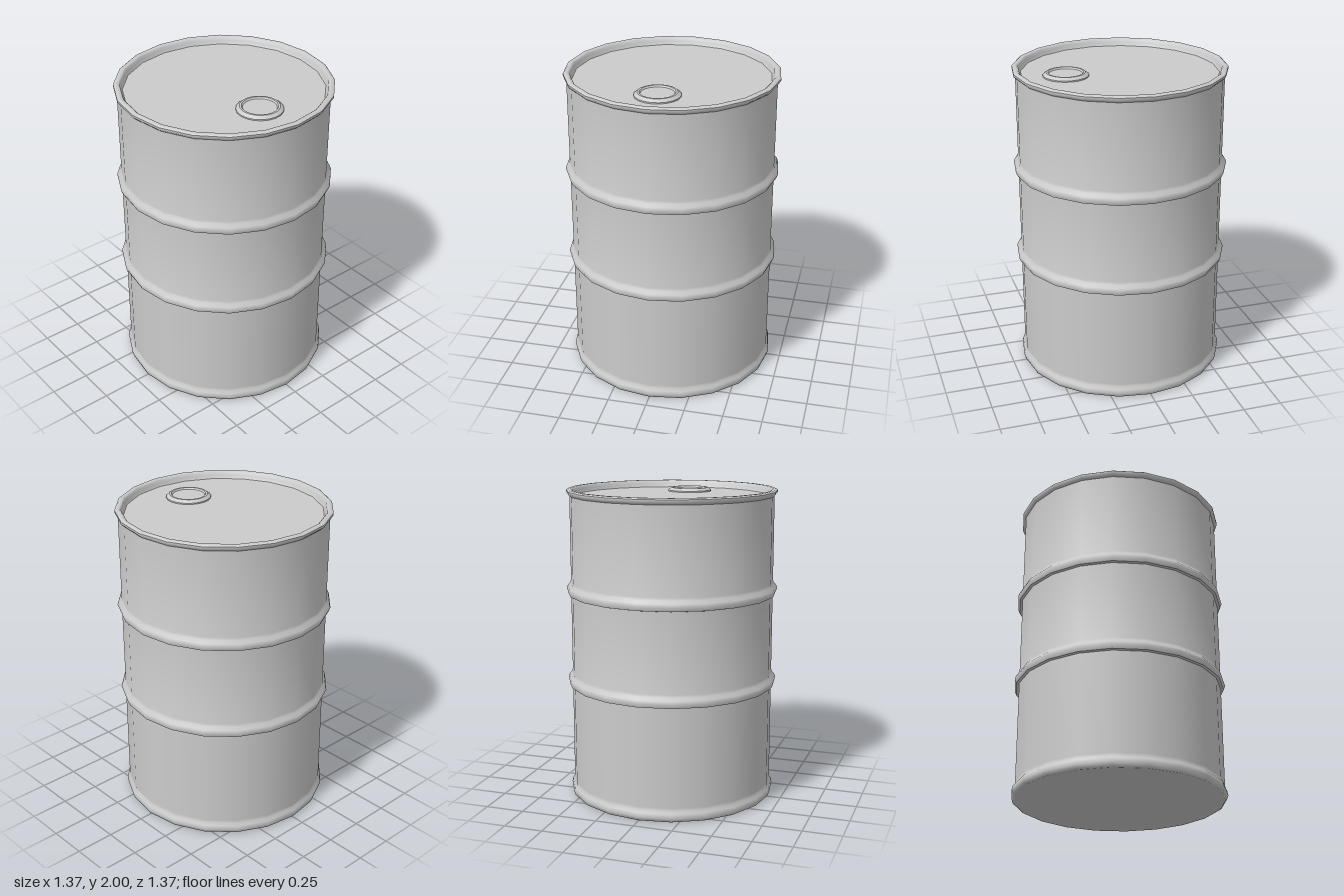
import * as THREE from 'three';
import { toCreasedNormals } from 'three/addons/utils/BufferGeometryUtils.js';

const material = new THREE.MeshStandardMaterial({ color: 0xcccccc });
const SIDES = 20;
const WALL = 0.655;

// Turn a list of [radius, height] pairs around the y axis
function turned(name, profile, crease = 0.85) {
  const points = profile.map(([r, y]) => new THREE.Vector2(r, y));
  const geometry = toCreasedNormals(new THREE.LatheGeometry(points, SIDES), crease);
  const mesh = new THREE.Mesh(geometry, material);
  mesh.name = name;
  return mesh;
}

// Rolled hoop: sharp underside, sloping top; support points keep the wall shading flat
function hoop(y) {
  return [
    [WALL, y - 0.015], [WALL, y], [0.672, y + 0.004],
    [0.683, y + 0.03], [0.676, y + 0.05], [0.66, y + 0.068], [WALL, y + 0.085],
  ];
}

export function createModel() {
  const drum = new THREE.Group();
  drum.name = 'drum';

  // Wall with bottom chime, two hoops and the rolled top rim
  drum.add(turned('drumBody', [
    [0.655, 0], [0.665, 0.006], [0.673, 0.03], [0.668, 0.055], [WALL, 0.07], [WALL, 0.09],
    ...hoop(0.732),
    ...hoop(1.328),
    [WALL, 1.945], [WALL, 1.96], [0.664, 1.967], [0.674, 1.978], [0.674, 1.992],
    [0.664, 2], [0.645, 2], [0.635, 1.992], [0.632, 1.975], [0.62, 1.955],
  ]));

  // Flat end plates
  drum.add(turned('bottomPlate', [[0, 0], [0.655, 0]]));
  drum.add(turned('lid', [[0.62, 1.955], [0, 1.955]]));

  // Filler cap: bevelled ring around a slightly sunken disc
  const cap = turned('fillerCap', [
    [0.143, 0], [0.143, 0.008], [0.122, 0.024], [0.11, 0.024], [0.103, 0.014], [0, 0.014],
  ], 0.6);
  cap.position.set(0.345, 1.955, 0.01);
  drum.add(cap);

  return drum;
}
